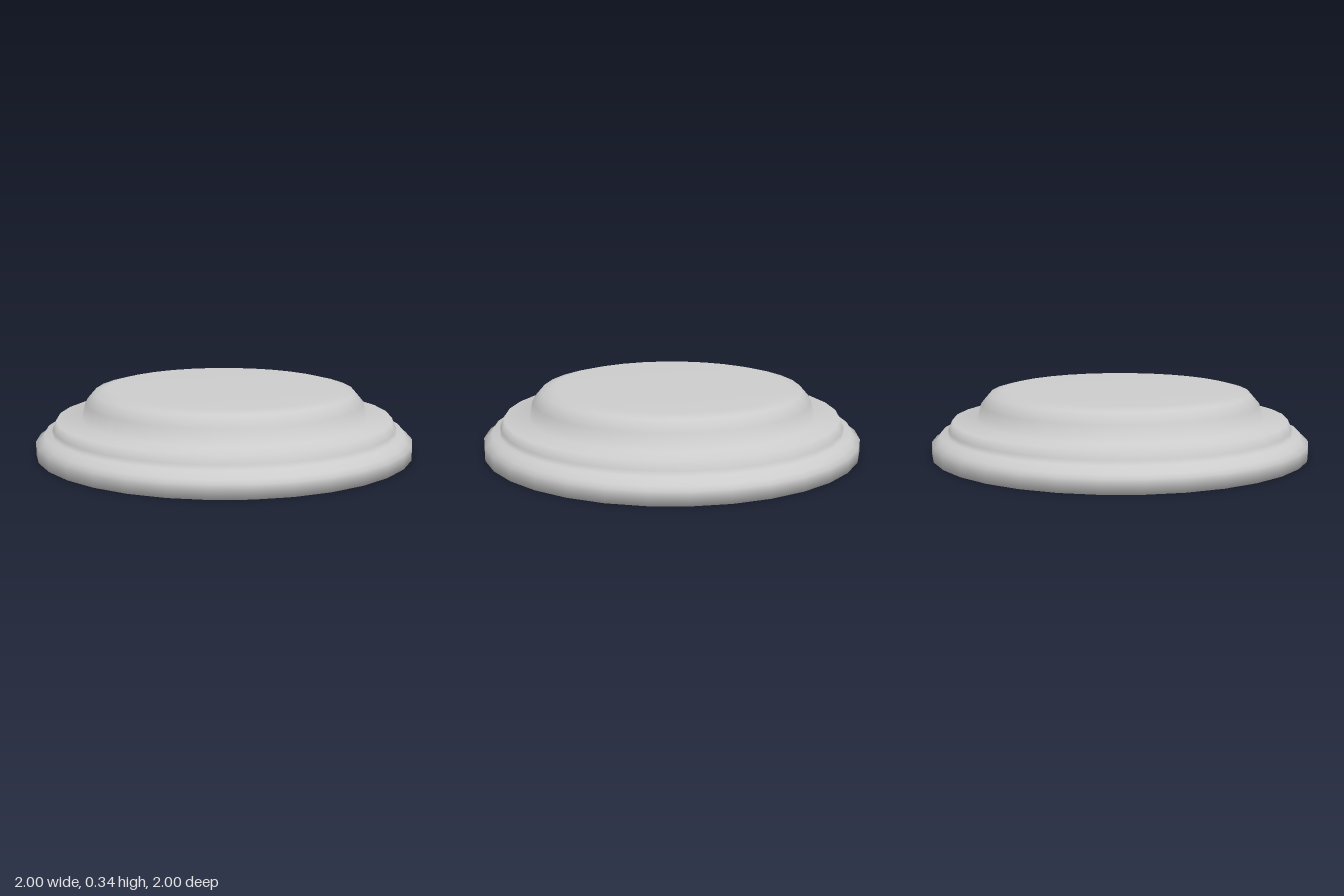
import * as THREE from 'three';

const SIDES = 32;

// Outline as [radius, height], from the underside centre up to the crown centre
const profile = [
  [0, 0], [1, 0], [1, 0.07], [0.97, 0.085], [0.955, 0.115],   // base rim
  [0.917, 0.115], [0.91, 0.14], [0.89, 0.185],                // middle step
  [0.758, 0.185], [0.738, 0.27], [0.69, 0.325], [0.62, 0.343], // rounded cap
  [0, 0.343],
];

export function createModel() {
  const group = new THREE.Group();
  group.name = 'steppedButton';

  // One turned solid with smooth shading running over all steps
  const geometry = new THREE.LatheGeometry(
    profile.map(([r, y]) => new THREE.Vector2(r, y)), SIDES);
  const body = new THREE.Mesh(
    geometry, new THREE.MeshStandardMaterial({ color: 0xcccccc }));
  body.name = 'turnedBody';
  group.add(body);

  return group;
}
